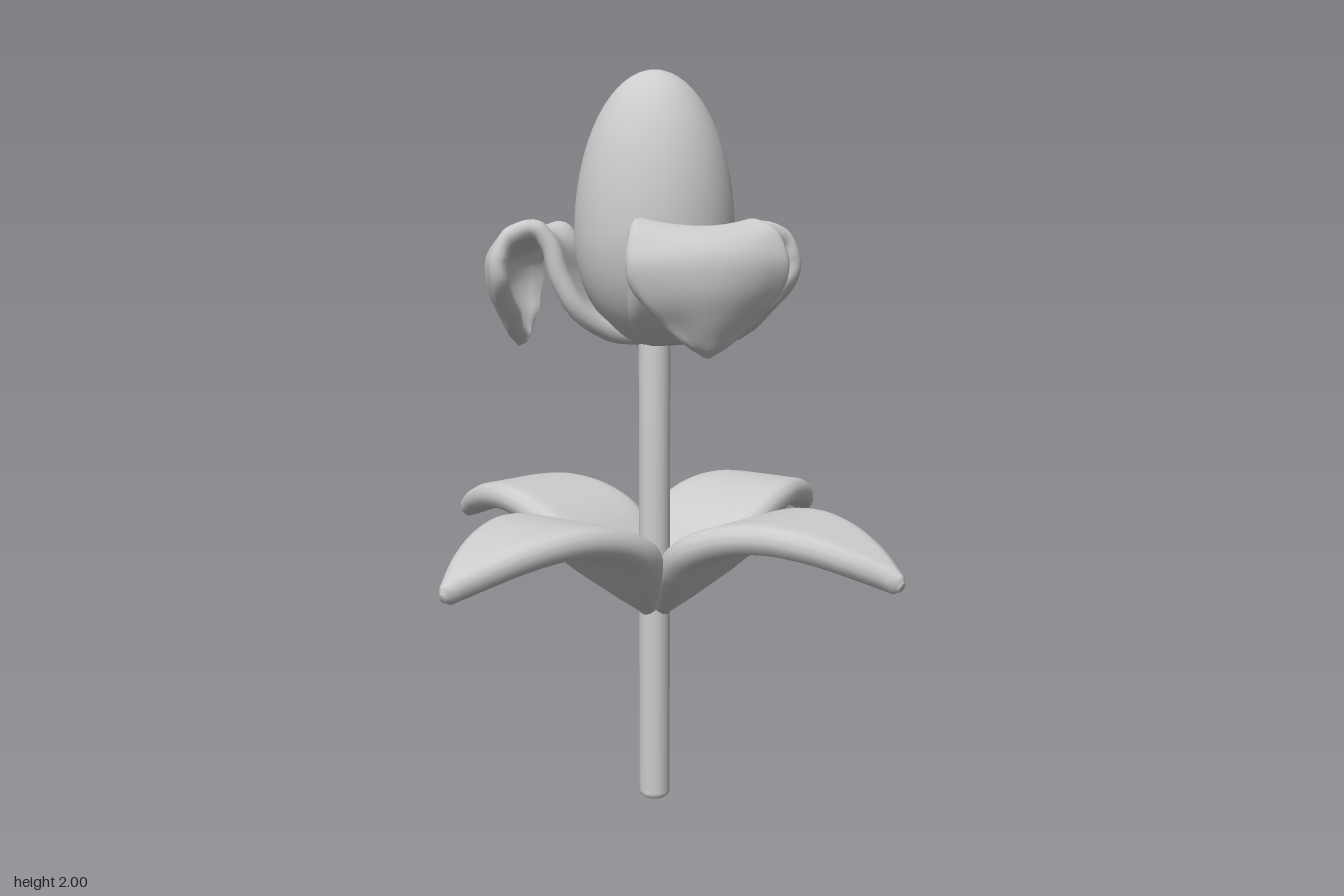
import * as THREE from 'three';

const grey = new THREE.MeshStandardMaterial({ color: 0xcccccc });
grey.name = 'grey';

// Thick blade along +x. Each station: [radius, height, half width, edge pulled inward, edge lifted, thickness]
function bladeGeometry(stations, steps) {
  const path = new THREE.CatmullRomCurve3(stations.map(s => new THREE.Vector3(s[0], s[1], s[2])));
  const shape = new THREE.CatmullRomCurve3(stations.map(s => new THREE.Vector3(s[3], s[4], s[5])), false, 'catmullrom', 0);
  // Flat section with rounded rims, as [side sign, across, cap z, cap n]
  const section = [];
  const cap = 6, across = 8;
  for (let i = 0; i <= cap; i++) {
    const a = -Math.PI / 2 + (i / cap) * Math.PI;
    section.push([1, Math.cos(a), Math.sin(a)]);
  }
  for (let i = 1; i < across; i++) section.push([1 - 2 * i / across, 0, 1]);
  for (let i = 0; i <= cap; i++) {
    const a = Math.PI / 2 + (i / cap) * Math.PI;
    section.push([-1, Math.cos(a), Math.sin(a)]);
  }
  for (let i = 1; i < across; i++) section.push([-1 + 2 * i / across, 0, -1]);

  const n = section.length, pos = [], index = [];
  for (let i = 0; i <= steps; i++) {
    const t = i / steps;
    const p = path.getPoint(t), f = shape.getPoint(t);
    const d = path.getPoint(Math.min(1, t + 0.01)).sub(path.getPoint(Math.max(0, t - 0.01)));
    const len = Math.hypot(d.x, d.y), nx = -d.y / len, ny = d.x / len;
    const h = f.z / 2, flat = Math.max(p.z - h, 0.002), rim = Math.min(h, Math.max(p.z, 0.01));
    for (const [s, cz, cn] of section) {
      const bend = s * s;
      pos.push(p.x - f.x * bend + nx * cn * h, p.y + f.y * bend + ny * cn * h, s * flat + cz * rim);
    }
  }
  for (let i = 0; i < steps; i++) for (let j = 0; j < n; j++) {
    const a = i * n + j, b = i * n + (j + 1) % n;
    index.push(a, a + n, b, b, a + n, b + n);
  }
  // End caps
  const first = path.getPoint(0), last = path.getPoint(1), c = pos.length / 3;
  pos.push(first.x, first.y, 0, last.x, last.y, 0);
  for (let j = 0; j < n; j++) {
    const k = (j + 1) % n, e = steps * n;
    index.push(c, j, k, c + 1, e + k, e + j);
  }
  const g = new THREE.BufferGeometry();
  g.setAttribute('position', new THREE.Float32BufferAttribute(pos, 3));
  g.setIndex(index);
  g.computeVertexNormals();
  return g;
}

export function createModel() {
  const model = new THREE.Group();
  const add = (geometry, name, angle = 0) => {
    const mesh = new THREE.Mesh(geometry, grey);
    mesh.name = name;
    mesh.rotation.y = angle;
    model.add(mesh);
  };

  // Stem with a slightly rounded foot
  const stem = [[0, 0], [0.034, 0], [0.041, 0.006], [0.043, 0.016], [0.043, 0.6], [0.043, 1.32], [0, 1.32]];
  add(new THREE.LatheGeometry(stem.map(p => new THREE.Vector2(...p)), 24), 'stem');

  // Egg-shaped bud: short lower half, tall upper half
  const bud = [];
  for (let i = 0; i <= 32; i++) {
    const a = -Math.PI / 2 + (i / 32) * Math.PI;
    bud.push(new THREE.Vector2(Math.max(0, 0.215 * Math.cos(a)), 1.57 + Math.sin(a) * (a < 0 ? 0.295 : 0.43)));
  }
  add(new THREE.LatheGeometry(bud, 40), 'bud');

  // Four arching leaves
  const leaf = bladeGeometry([
    [0.02, 0.56, 0.03, 0, 0, 0.07],
    [0.08, 0.62, 0.09, 0, 0, 0.08],
    [0.15, 0.69, 0.155, 0, 0, 0.085],
    [0.22, 0.753, 0.187, 0, 0, 0.085],
    [0.32, 0.80, 0.187, 0, 0, 0.08],
    [0.44, 0.822, 0.168, 0, 0, 0.078],
    [0.56, 0.81, 0.13, 0, 0, 0.075],
    [0.66, 0.78, 0.085, 0, 0, 0.07],
    [0.73, 0.75, 0.042, 0, 0, 0.066],
    [0.76, 0.735, 0.02, 0, 0, 0.055],
    [0.774, 0.728, 0.006, 0, 0, 0.025],
  ], 48);
  for (let i = 0; i < 4; i++) add(leaf, 'leaf', i * Math.PI / 2);

  // Three petals that cup the bud and fold over outward
  const petal = bladeGeometry([
    [0.03, 1.292, 0.02, 0, 0, 0.035],
    [0.11, 1.315, 0.09, 0, 0, 0.05],
    [0.185, 1.375, 0.14, 0, 0, 0.055],
    [0.23, 1.46, 0.155, 0, 0, 0.055],
    [0.258, 1.535, 0.16, 0, 0.015, 0.05],
    [0.305, 1.565, 0.17, 0.015, 0.02, 0.05],
    [0.375, 1.555, 0.195, 0.03, 0.015, 0.05],
    [0.425, 1.515, 0.212, 0.05, 0, 0.05],
    [0.432, 1.45, 0.205, 0.055, 0, 0.05],
    [0.41, 1.375, 0.14, 0.04, 0, 0.05],
    [0.38, 1.305, 0.06, 0.01, 0, 0.045],
    [0.368, 1.275, 0.012, 0, 0, 0.025],
  ], 56);
  for (let i = 0; i < 3; i++) add(petal, 'petal', i * Math.PI * 2 / 3);

  return model;
}
